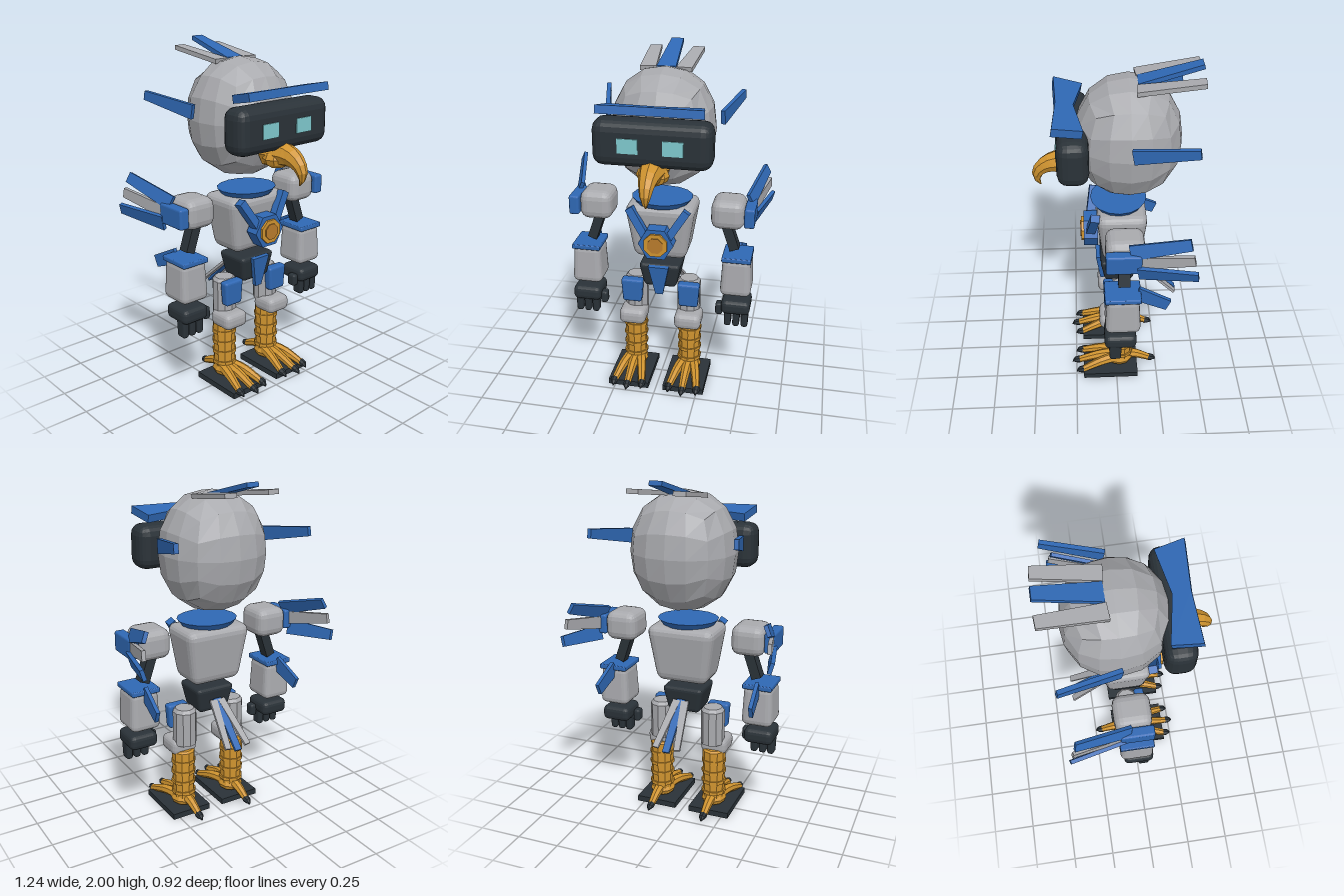
import * as THREE from 'three';
import { RoundedBoxGeometry } from 'three/addons/geometries/RoundedBoxGeometry.js';

const V = (x, y, z) => new THREE.Vector3(x, y, z);

function material(name, color) {
  const m = new THREE.MeshStandardMaterial({ color });
  m.name = name;
  return m;
}

// Move every vertex of a geometry by a rule
function reshape(geo, rule) {
  const p = geo.attributes.position, v = V(0, 0, 0);
  for (let i = 0; i < p.count; i++) {
    v.fromBufferAttribute(p, i);
    rule(v, i);
    p.setXYZ(i, v.x, v.y, v.z);
  }
  return geo;
}

// Faceted mesh
function add(parent, name, geo, mat, x = 0, y = 0, z = 0) {
  const flat = geo.index ? geo.toNonIndexed() : geo;
  flat.computeVertexNormals();
  const mesh = new THREE.Mesh(flat, mat);
  mesh.name = name;
  mesh.position.set(x, y, z);
  parent.add(mesh);
  return mesh;
}

// Rounded block with separate scaling of its top and bottom
function block(w, h, d, r, top = 1, bottom = 1) {
  return reshape(new RoundedBoxGeometry(w, h, d, 2, r), (v) => {
    const k = THREE.MathUtils.lerp(bottom, top, v.y / h + 0.5);
    v.x *= k;
    v.z *= k;
  });
}

// Tapered plate from base to tip; side is the direction of its width
function plate(base, tip, w0, w1, thick, side) {
  const dir = tip.clone().sub(base), len = dir.length();
  const Z = dir.normalize();
  const Y = Z.clone().cross(side).normalize();
  const X = Y.clone().cross(Z);
  const geo = reshape(new THREE.BoxGeometry(1, thick, len), (v) => { v.x *= v.z > 0 ? w1 : w0; });
  geo.applyMatrix4(new THREE.Matrix4().makeBasis(X, Y, Z));
  const mid = base.clone().add(tip).multiplyScalar(0.5);
  return geo.translate(mid.x, mid.y, mid.z);
}

// Tube whose radius follows a list of values
function taperTube(points, radii, rings, sides) {
  const curve = new THREE.CatmullRomCurve3(points);
  return reshape(new THREE.TubeGeometry(curve, rings, 1, sides), (v, i) => {
    const t = Math.floor(i / (sides + 1)) / rings;
    const f = t * (radii.length - 1), k = Math.min(Math.floor(f), radii.length - 2);
    const c = curve.getPointAt(t);
    v.sub(c).multiplyScalar(THREE.MathUtils.lerp(radii[k], radii[k + 1], f - k)).add(c);
  });
}

export function createModel() {
  const grey = material('light grey', 0xa9aaae);
  const blue = material('blue', 0x2f68b4);
  const dark = material('dark slate', 0x2a3238);
  const orange = material('orange', 0xd0942f);
  const bronze = material('bronze', 0xb97c2c);
  const teal = material('teal', 0x7fc9ce);
  const model = new THREE.Group();
  model.name = 'birdRobot';
  const UP = V(0, 1, 0), ACROSS = V(1, 0, 0);

  // Head: a cube grid blown up towards a ball
  const head = new THREE.Group();
  head.name = 'head';
  model.add(head);
  const skull = reshape(new THREE.BoxGeometry(2, 2, 2, 4, 4, 4), (v) => {
    const a = v.toArray().map((c) => Math.tan(c * Math.PI / 4));
    const n = a.reduce((s, c) => s + Math.abs(c) ** 2.2, 0) ** (1 / 2.2);
    v.set(a[0] / n * 0.293, a[1] / n * 0.333, a[2] / n * 0.288);
  });
  add(head, 'skull', skull, grey, 0, 1.583, -0.073);
  add(head, 'visor', block(0.646, 0.254, 0.168, 0.06), dark, 0, 1.579, 0.226);

  // Brow: swept plate, tilted up at the front
  const browShape = new THREE.Shape([[-0.26, -0.08], [0, -0.03], [0.26, -0.08], [0.285, 0.08], [0, 0.065], [-0.285, 0.08]]
    .map(([x, y]) => new THREE.Vector2(x, y)));
  const browGeo = new THREE.ExtrudeGeometry(browShape, { depth: 0.045, bevelEnabled: false }).rotateX(Math.PI / 2);
  add(head, 'brow', browGeo, blue, 0, 1.777, 0.245).rotation.x = -0.2;

  // Beak
  add(head, 'upperBeak', taperTube(
    [V(0, 1.42, 0.17), V(0, 1.43, 0.27), V(0, 1.422, 0.35), V(0, 1.385, 0.408), V(0, 1.33, 0.43), V(0, 1.28, 0.41)],
    [0.08, 0.075, 0.062, 0.046, 0.03, 0.003], 10, 8), orange);
  add(head, 'lowerBeak', new THREE.SphereGeometry(1, 10, 6).scale(0.092, 0.058, 0.075), orange, 0, 1.403, 0.24);

  // Crest
  add(head, 'crestMiddle', plate(V(0, 1.895, -0.12), V(0, 1.985, -0.455), 0.108, 0.07, 0.025, ACROSS), blue);

  // Torso
  const torso = new THREE.Group();
  torso.name = 'torso';
  model.add(torso);
  add(torso, 'chest', block(0.41, 0.33, 0.29, 0.05, 1, 0.74), grey, 0, 0.99, -0.035);
  add(torso, 'collar', new THREE.CylinderGeometry(0.177, 0.15, 0.035, 16).scale(1, 1, 0.9), blue, 0, 1.168, -0.02);
  const badge = (r, h, n) => new THREE.CylinderGeometry(r, r, h, n).rotateY(Math.PI / n).rotateX(Math.PI / 2);
  add(torso, 'badgeFrame', badge(0.102, 0.08, 6), blue, 0, 0.963, 0.14);
  add(torso, 'badge', badge(0.072, 0.02, 8), orange, 0, 0.963, 0.184);
  add(torso, 'badgeCentre', badge(0.048, 0.008, 8), bronze, 0, 0.963, 0.196);
  add(torso, 'pelvis', block(0.25, 0.155, 0.22, 0.025, 1, 0.75), dark, 0, 0.712, -0.02);
  add(torso, 'frontTabard', plate(V(0, 0.785, 0.1), V(0, 0.6, 0.075), 0.12, 0.045, 0.025, ACROSS), blue);
  add(torso, 'tailMiddle', plate(V(0, 0.72, -0.13), V(0, 0.49, -0.365), 0.05, 0.04, 0.016, ACROSS), blue);

  for (const s of [1, -1]) {
    const side = s > 0 ? 'left' : 'right';
    const P = (x, y, z) => V(s * x, y, z);

    // Eyes, head feathers, chest straps, tail sides
    add(head, side + 'Eye', new THREE.BoxGeometry(0.111, 0.08, 0.009), teal, s * 0.12, 1.577, 0.311);
    add(head, side + 'Crest', plate(P(0.1, 1.893, -0.11), P(0.127, 1.94, -0.455), 0.09, 0.068, 0.025, ACROSS), grey);
    add(head, side + 'EarFeather', plate(P(0.325, 1.645, -0.08), P(0.405, 1.703, -0.405), 0.08, 0.05, 0.025, UP), blue);
    add(torso, side + 'Strap', plate(P(0.165, 1.15, 0.115), P(0.05, 0.97, 0.145), 0.045, 0.045, 0.05, ACROSS), blue);
    add(torso, side + 'TailFeather', plate(P(0.025, 0.715, -0.135), P(0.065, 0.51, -0.36), 0.045, 0.035, 0.016, ACROSS), grey);

    // Arm
    const arm = new THREE.Group();
    arm.name = side + 'Arm';
    model.add(arm);
    add(arm, 'shoulder', block(0.19, 0.17, 0.21, 0.05), grey, s * 0.383, 1.115, -0.037);
    add(arm, 'shoulderPad', block(0.06, 0.115, 0.19, 0.012), blue, s * 0.508, 1.115, -0.025);
    add(arm, 'upperWingFeather', plate(P(0.5, 1.175, -0.06), P(0.565, 1.268, -0.365), 0.08, 0.06, 0.022, P(-0.4, 1, 0)), blue);
    add(arm, 'middleWingFeather', plate(P(0.51, 1.115, -0.07), P(0.585, 1.18, -0.385), 0.075, 0.055, 0.022, UP), grey);
    add(arm, 'lowerWingFeather', plate(P(0.525, 1.06, -0.1), P(0.6, 1.085, -0.405), 0.09, 0.06, 0.022, P(0.3, 1, 0)), blue);
    add(arm, 'upperArm', plate(P(0.365, 1.06, -0.033), P(0.425, 0.885, -0.033), 0.056, 0.056, 0.065, ACROSS), dark);
    add(arm, 'forearm', block(0.182, 0.235, 0.2, 0.035, 0.88, 1), grey, s * 0.445, 0.735, -0.023);
    add(arm, 'cuff', block(0.17, 0.03, 0.2, 0.008), blue, s * 0.445, 0.852, -0.023);
    add(arm, 'elbowFeather', plate(P(0.445, 0.845, -0.1), P(0.46, 0.768, -0.275), 0.09, 0.07, 0.022, UP), blue);

    // Hand
    add(arm, 'palm', block(0.17, 0.088, 0.18, 0.03), dark, s * 0.45, 0.542, -0.01);
    for (let i = -1; i <= 1; i++) {
      add(arm, 'finger', block(0.045, 0.13, 0.075, 0.015, 1, 0.85), dark, s * (0.455 + i * 0.05), 0.473, 0.02);
    }
    add(arm, 'thumb', block(0.042, 0.075, 0.06, 0.015), dark, s * 0.351, 0.513, 0.02);

    // Leg
    const leg = new THREE.Group();
    leg.name = side + 'Leg';
    model.add(leg);
    const thighProfile = [[0, 0.44], [0.07, 0.44], [0.07, 0.645], [0.055, 0.665], [0, 0.665]];
    const lathe = (pts, n) => new THREE.LatheGeometry(pts.map(([r, y]) => new THREE.Vector2(r, y)), n);
    add(leg, 'thigh', lathe(thighProfile, 10), grey, s * 0.16, 0, -0.035);
    add(leg, 'thighGuard', block(0.132, 0.148, 0.06, 0.015, 1, 0.85), blue, s * 0.17, 0.592, 0.045);
    add(leg, 'knee', block(0.16, 0.098, 0.165, 0.035), grey, s * 0.168, 0.42, 0.018);
    add(leg, 'shin', lathe([[0, 0.08], [0.064, 0.08], [0.068, 0.39], [0.055, 0.4], [0, 0.4]], 10), orange, s * 0.168, 0, -0.03);
    for (const y of [0.125, 0.193, 0.258, 0.325]) {
      add(leg, 'shinRing', new THREE.CylinderGeometry(0.073, 0.073, 0.02, 10), orange, s * 0.168, y, -0.03);
    }

    // Foot with three front toes and one behind
    add(leg, 'sole', new THREE.BoxGeometry(0.247, 0.034, 0.335), dark, s * 0.168, 0.018, 0.037);
    add(leg, 'ankle', new THREE.SphereGeometry(1, 10, 6).scale(0.075, 0.05, 0.085), orange, s * 0.168, 0.075, -0.02);
    for (const [dx, tipZ] of [[-0.085, 0.215], [0, 0.24], [0.085, 0.215], [0, -0.215]]) {
      const x = 0.168 + dx, dir = Math.sign(tipZ);
      add(leg, 'toe', taperTube(
        [P(0.168 + dx * 0.3, 0.09, -0.03), P(0.168 + dx * 0.65, 0.083, -0.03 + (tipZ + 0.03) * 0.45), P(x, 0.038, tipZ)],
        [0.034, 0.028, 0.02], 6, 7), orange);
      add(leg, 'claw', taperTube(
        [P(x, 0.042, tipZ - dir * 0.012), P(x, 0.038, tipZ + dir * 0.012), P(x, 0.022, tipZ + dir * 0.035)],
        [0.023, 0.02, 0.002], 4, 7), dark);
    }
  }
  return model;
}
